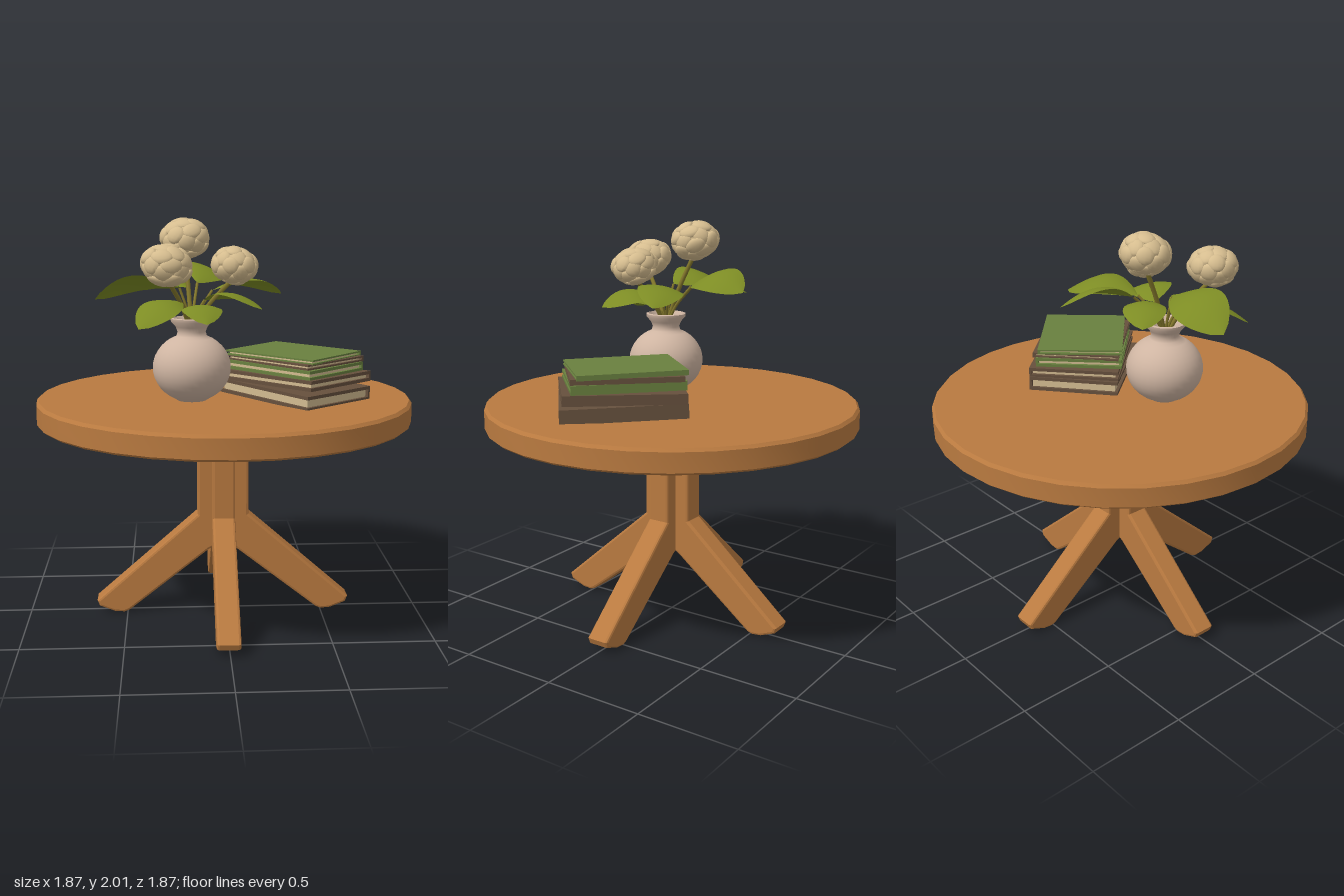
import * as THREE from 'three';
import { toCreasedNormals } from 'three/addons/utils/BufferGeometryUtils.js';

const mat = (name, color, extra = {}) => {
  const m = new THREE.MeshStandardMaterial({ color, ...extra });
  m.name = name;
  return m;
};
const V = (x, y, z) => new THREE.Vector3(x, y, z);

export function createModel() {
  const wood = mat('wood', 0xb97a40);
  const clay = mat('clay', 0xcfb5a2);
  const petalMat = mat('petal cream', 0xd6bd8f);
  const leafMat = mat('leaf green', 0x7d8c24, { side: THREE.DoubleSide });
  const stemMat = mat('stem olive', 0x84782c);
  const bookGreen = mat('book green', 0x69803f);
  const bookBrown = mat('book brown', 0x66503d);
  const paper = mat('paper', 0xd2bb90);

  const model = new THREE.Group();
  model.name = 'tableWithFlowers';
  const add = (name, geometry, material, parent = model) => {
    const mesh = new THREE.Mesh(geometry, material);
    mesh.name = name;
    parent.add(mesh);
    return mesh;
  };
  const lathe = (pts, segments) =>
    new THREE.LatheGeometry(pts.map(([r, y]) => new THREE.Vector2(r, y)), segments);

  // Round table top with a softened rim
  const top = lathe([[0, 1.01], [0.92, 1.01], [0.935, 1.022], [0.935, 1.115], [0.922, 1.13], [0, 1.13]], 32);
  add('tableTop', toCreasedNormals(top, 0.6), wood);

  // Four bent legs whose upper ends form the column
  const legShape = new THREE.Shape([
    [0, 1.015], [0.13, 1.015], [0.13, 0.52], [0.65, 0.065], [0.638, 0.035],
    [0.56, 0.004], [0.51, 0], [0.485, 0.01], [0.07, 0.335], [0, 0.37],
  ].map(([x, y]) => new THREE.Vector2(x, y)));
  const legGeo = new THREE.ExtrudeGeometry(legShape, {
    depth: 0.091, bevelThickness: 0.012, bevelSize: 0.012, bevelOffset: -0.012, bevelSegments: 2,
  });
  legGeo.translate(0, 0, -0.0455);
  const legs = new THREE.Group();
  legs.name = 'legs';
  legs.position.x = -0.006;
  model.add(legs);
  for (let i = 0; i < 4; i++) add('leg', legGeo, wood, legs).rotation.y = i * Math.PI / 2;

  // Round vase with flared neck and open mouth
  const body = [[0, 0], [0.07, 0]];
  for (let i = 0; i <= 14; i++) {
    const a = -1.1 + i * (2.27 / 14);
    body.push([0.19 * Math.cos(a), 0.16 + 0.168 * Math.sin(a)]);
  }
  body.push([0.068, 0.335], [0.078, 0.36], [0.1, 0.385], [0.101, 0.4], [0.09, 0.403], [0.064, 0.36], [0.055, 0.32], [0, 0.3]);
  add('vase', toCreasedNormals(lathe(body, 32), 0.9), clay).position.set(-0.163, 1.135, 0.148);

  // Stack of books: [y, height, width, depth, degrees, x, z, tilt, cover]
  const books = [
    [1.133, 0.07, 0.6, 0.45, 50, 0.35, 0.055, -0.03, bookBrown],
    [1.212, 0.05, 0.58, 0.45, 48, 0.36, 0.05, 0.012, bookBrown],
    [1.266, 0.045, 0.54, 0.43, 45, 0.345, 0.05, -0.01, bookGreen],
    [1.311, 0.026, 0.53, 0.43, 47, 0.35, 0.045, 0, bookBrown],
    [1.335, 0.025, 0.524, 0.42, 42, 0.345, 0.04, -0.008, bookGreen],
  ];
  for (const [y, h, w, d, deg, x, z, tilt, cover] of books) {
    const book = new THREE.Group();
    book.name = 'book';
    book.position.set(x, y + h / 2, z);
    book.rotation.set(0, -deg * Math.PI / 180, tilt);
    model.add(book);
    const t = Math.min(0.016, h * 0.32);
    for (const s of [-1, 1]) {
      add('cover', new THREE.BoxGeometry(w, t, d), cover, book).position.y = s * (h - t) / 2;
    }
    add('pages', new THREE.BoxGeometry(w - 0.03, h - 2 * t, d - 0.03), paper, book);
    add('spine', new THREE.BoxGeometry(w, h, 0.012), cover, book).position.z = -d / 2 + 0.006;
  }

  // Stems are tubes rising from the vase neck
  const mouth = V(-0.163, 1.46, 0.148);
  const stem = (end, radius, parent) => {
    const mid = mouth.clone().lerp(end, 0.4);
    mid.y += 0.03;
    add('stem', new THREE.TubeGeometry(new THREE.CatmullRomCurve3([mouth, mid, end]), 10, radius, 6), stemMat, parent);
  };

  // Flowers: a core covered by overlapping rounded petals
  const petalGeo = new THREE.SphereGeometry(1, 12, 8);
  const flowers = [
    [V(-0.19, 1.91, -0.01), 0.124, 0.1, -0.12],
    [V(-0.28, 1.8, 0.34), 0.124, 0.3, 0.2],
    [V(0.04, 1.79, 0.2), 0.115, 0.1, -0.2],
  ];
  for (const [center, r, tiltX, tiltZ] of flowers) {
    const flower = new THREE.Group();
    flower.name = 'flower';
    flower.position.copy(center);
    flower.rotation.set(tiltX, center.x * 9, tiltZ);
    flower.scale.set(r, r * 0.8, r);
    model.add(flower);
    add('core', new THREE.SphereGeometry(0.9, 16, 12), petalMat, flower);
    const count = 30;
    for (let i = 0; i < count; i++) {
      const y = 1 - 2 * (i + 0.5) / count;
      const a = i * 2.39996;
      const q = Math.sqrt(1 - y * y);
      const dir = V(q * Math.cos(a), y, q * Math.sin(a));
      const petal = add('petal', petalGeo, petalMat, flower);
      petal.position.copy(dir).multiplyScalar(0.78 + 0.025 * (i % 3));
      petal.quaternion.setFromUnitVectors(V(0, 0, 1), dir);
      petal.scale.set(0.36, 0.42, 0.19);
    }
    stem(center.clone().add(V(0, -r * 0.5, 0)), 0.011, model);
  }

  // Leaf: a grid bent along its length, with an oval outline and a raised or lowered side
  const leaf = (base, tip, width, arch, roll) => {
    const geo = new THREE.PlaneGeometry(2, 1, 6, 12);
    const p = geo.attributes.position;
    const side = tip.clone().sub(base).cross(V(0, 1, 0)).normalize();
    for (let i = 0; i < p.count; i++) {
      const s = p.getX(i);
      const u = p.getY(i) + 0.5;
      const w = Math.pow(Math.max(0, Math.sin(Math.PI * Math.pow(u, 1.1))), 0.75);
      const v = base.clone().lerp(tip, u).addScaledVector(side, s * w * width / 2);
      v.y += arch * Math.sin(Math.PI * u) + roll * s * w - 0.02 * s * s * w;
      p.setXYZ(i, v.x, v.y, v.z);
    }
    geo.computeVertexNormals();
    add('leaf', geo, leafMat);
    stem(base, 0.007, model);
  };
  leaf(V(-0.22, 1.68, 0.14), V(-0.63, 1.62, 0.07), 0.25, 0.07, -0.045);
  leaf(V(-0.13, 1.69, -0.03), V(-0.03, 1.69, -0.385), 0.22, 0.07, -0.045);
  leaf(V(-0.06, 1.66, 0.06), V(0.295, 1.63, -0.09), 0.22, 0.065, 0.02);
  leaf(V(-0.1, 1.62, 0.13), V(0.165, 1.59, 0.31), 0.22, 0.055, 0.02);
  leaf(V(-0.14, 1.57, 0.2), V(-0.1, 1.54, 0.48), 0.19, 0.06, 0);
  leaf(V(-0.21, 1.62, 0.22), V(-0.41, 1.52, 0.47), 0.2, 0.05, 0.02);
  leaf(V(-0.18, 1.67, 0.01), V(-0.39, 1.64, -0.2), 0.2, 0.05, 0);

  return model;
}
